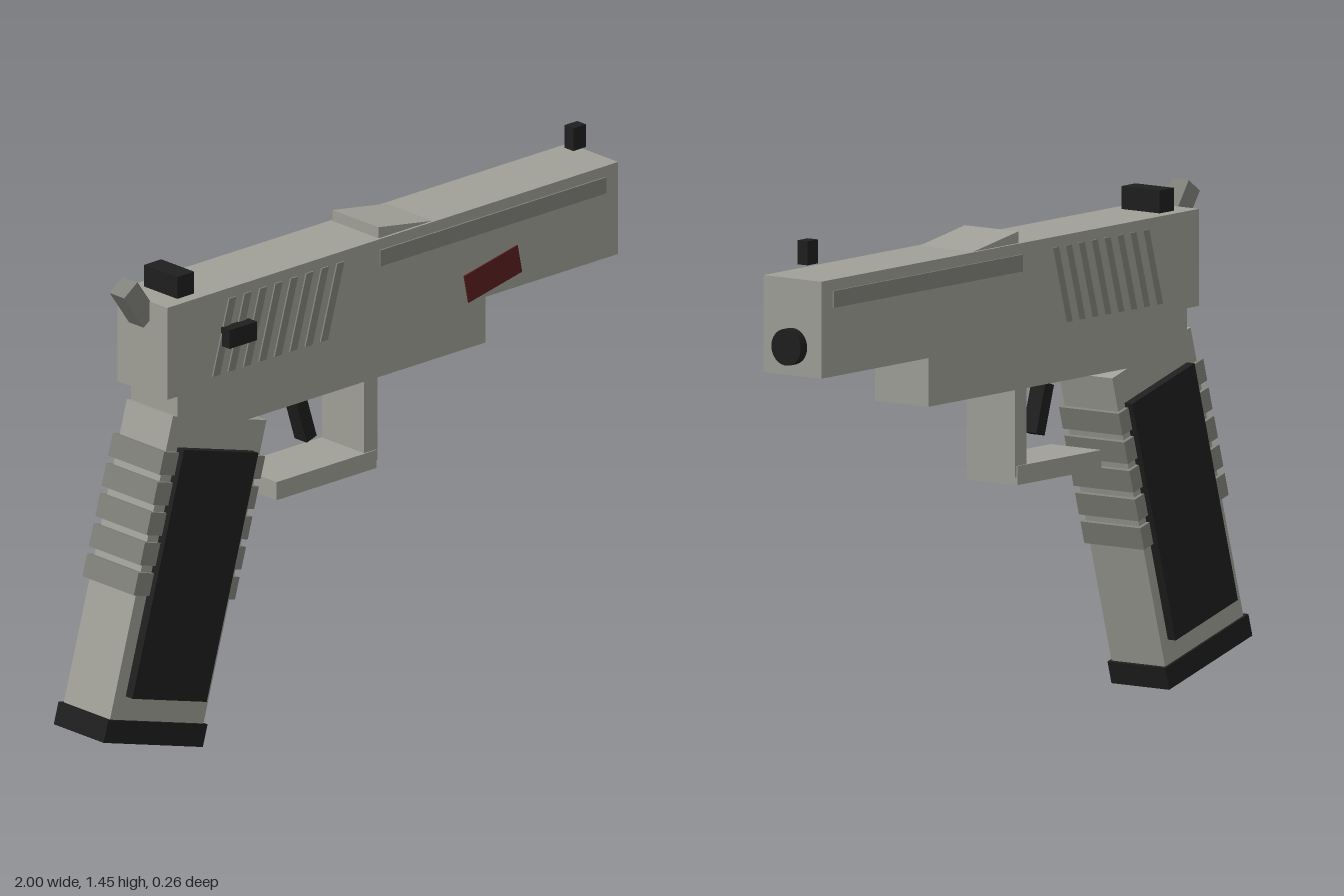
import * as THREE from 'three';

export function createModel() {
  const model = new THREE.Group();
  model.name = 'pistol';
  const body = new THREE.Group();
  body.name = 'body';
  body.position.z = -0.005;
  model.add(body);

  const mat = (name, color) => {
    const m = new THREE.MeshStandardMaterial({ color });
    m.name = name;
    return m;
  };
  const steel = mat('steel grey', 0xa0a098);
  const dark = mat('dark grey', 0x81817b);
  const black = mat('black', 0x1f1f1f);
  const red = mat('dark red', 0x5a1f1f);

  const add = (name, geometry, material, x, y, z = 0, parent = body) => {
    const mesh = new THREE.Mesh(geometry, material);
    mesh.name = name;
    mesh.position.set(x, y, z);
    parent.add(mesh);
    return mesh;
  };
  // box given by its extents in x and y, and its depth
  const block = (name, m, x0, x1, y0, y1, depth, z = 0) =>
    add(name, new THREE.BoxGeometry(x1 - x0, y1 - y0, depth), m, (x0 + x1) / 2, (y0 + y1) / 2, z);
  // box given by centre and size, turned about z
  const tilted = (name, m, x, y, w, h, depth, angle, z = 0) => {
    const mesh = add(name, new THREE.BoxGeometry(w, h, depth), m, x, y, z);
    mesh.rotation.z = angle;
    return mesh;
  };

  // Slide and frame
  block('slide', steel, -0.755, 0.97, 1.08, 1.355, 0.205);
  block('frame', steel, -0.71, 0.47, 0.94, 1.08, 0.19);

  // Raised wedge on top of the slide
  const wedge = new THREE.Shape();
  wedge.moveTo(0.06, 1.34);
  wedge.lineTo(0.36, 1.34);
  wedge.lineTo(0.06, 1.388);
  const wedgeGeometry = new THREE.ExtrudeGeometry(wedge, { depth: 0.19, bevelEnabled: false });
  wedgeGeometry.translate(0, 0, -0.095);
  add('topWedge', wedgeGeometry, steel, 0, 0);

  // Slanted serrations and long side strips on both faces
  for (const side of [1, -1]) {
    for (let i = 0; i < 8; i++) {
      const shape = new THREE.Shape();
      const x = -0.585 + i * 0.059;
      shape.moveTo(x, 1.107);
      shape.lineTo(x + 0.027, 1.107);
      shape.lineTo(x + 0.09, 1.325);
      shape.lineTo(x + 0.063, 1.325);
      const strip = new THREE.ExtrudeGeometry(shape, { depth: 0.008, bevelEnabled: false });
      strip.translate(0, 0, -0.004);
      add('serration', strip, dark, 0, 0, side * 0.1035);
    }
    block('sideStrip', dark, 0.056, 0.92, 1.275, 1.323, 0.008, side * 0.1035);
  }

  // Sights, hammer, muzzle, lever and red panel
  block('rearSight', black, -0.685, -0.62, 1.355, 1.42, 0.136);
  block('frontSight', black, 0.877, 0.925, 1.388, 1.456, 0.036);
  tilted('hammer', dark, -0.79, 1.353, 0.062, 0.13, 0.06, 0.61);
  const muzzle = add('muzzle', new THREE.CylinderGeometry(0.052, 0.052, 0.05, 24), black, 0.975, 1.163);
  muzzle.rotation.z = Math.PI / 2;
  block('lever', black, -0.55, -0.445, 1.19, 1.246, 0.04, 0.118);
  tilted('redPanel', red, 0.488, 1.143, 0.208, 0.085, 0.008, 0.2, 0.103);

  // Trigger and guard
  tilted('trigger', black, -0.152, 0.853, 0.04, 0.145, 0.05, 0.3);
  block('guardPost', steel, 0.013, 0.064, 0.69, 0.94, 0.173);
  block('guardBar', steel, -0.325, 0.057, 0.668, 0.722, 0.18);

  // Slanted grip with panels, finger ridges and base
  const lean = -0.278;
  tilted('grip', steel, -0.668, 0.548, 0.372, 0.88, 0.19, lean);
  tilted('gripPanels', black, -0.666, 0.537, 0.296, 0.722, 0.245, lean);
  tilted('gripBase', black, -0.8, 0.094, 0.395, 0.066, 0.205, lean);
  for (let i = 0; i < 5; i++) {
    const t = i / 4;
    tilted('gripRidge', dark, -0.586 - 0.098 * t, 0.842 - 0.336 * t, 0.402, 0.066, 0.212, lean);
  }

  return model;
}
